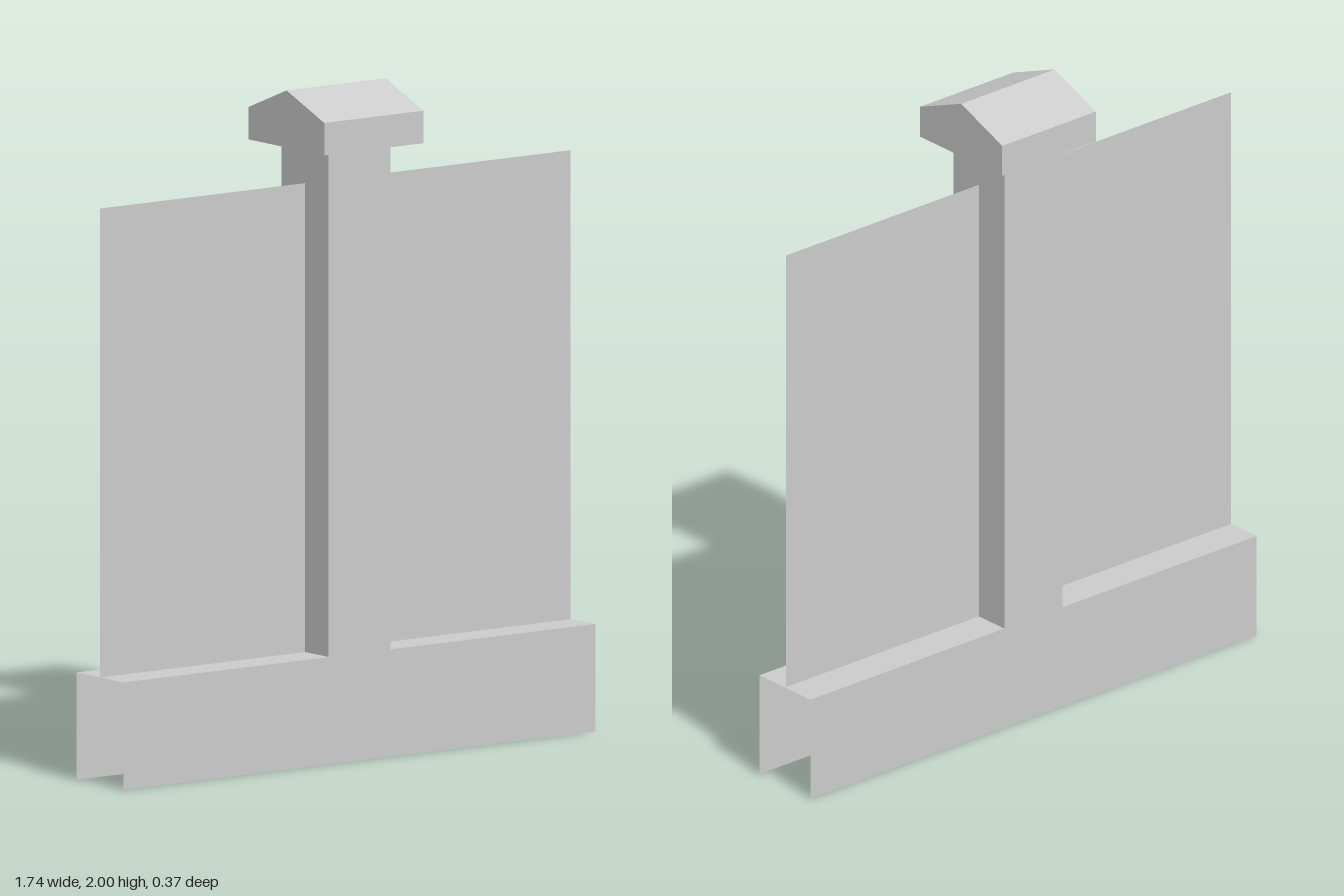
import * as THREE from 'three';

const POST = 0.114;      // half width of the square post
const HALF = 0.872;      // half length of the wall
const BASE_TOP = 0.32;
const POST_TOP = 1.83;

export function createModel() {
  const model = new THREE.Group();
  const solid = new THREE.MeshStandardMaterial({ color: 0xcccccc, flatShading: true });
  const thin = new THREE.MeshStandardMaterial({ color: 0xcccccc, flatShading: true, side: THREE.DoubleSide });

  const add = (name, geometry, material, x, y, z) => {
    const mesh = new THREE.Mesh(geometry, material);
    mesh.name = name;
    mesh.position.set(x, y, z);
    model.add(mesh);
    return mesh;
  };

  // Base: a thin channel, open below and at both ends
  const skirt = new THREE.PlaneGeometry(2 * HALF, BASE_TOP);
  add('baseFront', skirt, thin, 0, BASE_TOP / 2, POST);
  add('baseBack', skirt, thin, 0, BASE_TOP / 2, -POST).rotation.y = Math.PI;
  add('baseTop', new THREE.PlaneGeometry(2 * HALF, 2 * POST), thin, 0, BASE_TOP, 0).rotation.x = -Math.PI / 2;

  // Post, flush with the base faces
  const postHeight = POST_TOP - BASE_TOP;
  add('post', new THREE.BoxGeometry(2 * POST, postHeight, 2 * POST), solid, 0, BASE_TOP + postHeight / 2, 0);

  // Thin panels on either side of the post
  const panelHeight = 1.717 - BASE_TOP;
  for (const [name, from, to] of [['rightPanel', -HALF, -POST], ['leftPanel', POST, 0.867]]) {
    add(name, new THREE.PlaneGeometry(to - from, panelHeight), thin, (from + to) / 2, BASE_TOP + panelHeight / 2, 0);
  }

  // Gabled cap with its ridge along x
  const c = 0.183;
  const gable = new THREE.Shape([[-c, 0], [c, 0], [c, 0.097], [0, 0.17], [-c, 0.097]].map(([x, y]) => new THREE.Vector2(x, y)));
  const cap = new THREE.ExtrudeGeometry(gable, { depth: 2 * c, bevelEnabled: false });
  cap.translate(0, 0, -c).rotateY(Math.PI / 2);
  add('cap', cap, solid, 0, POST_TOP, 0);

  return model;
}
